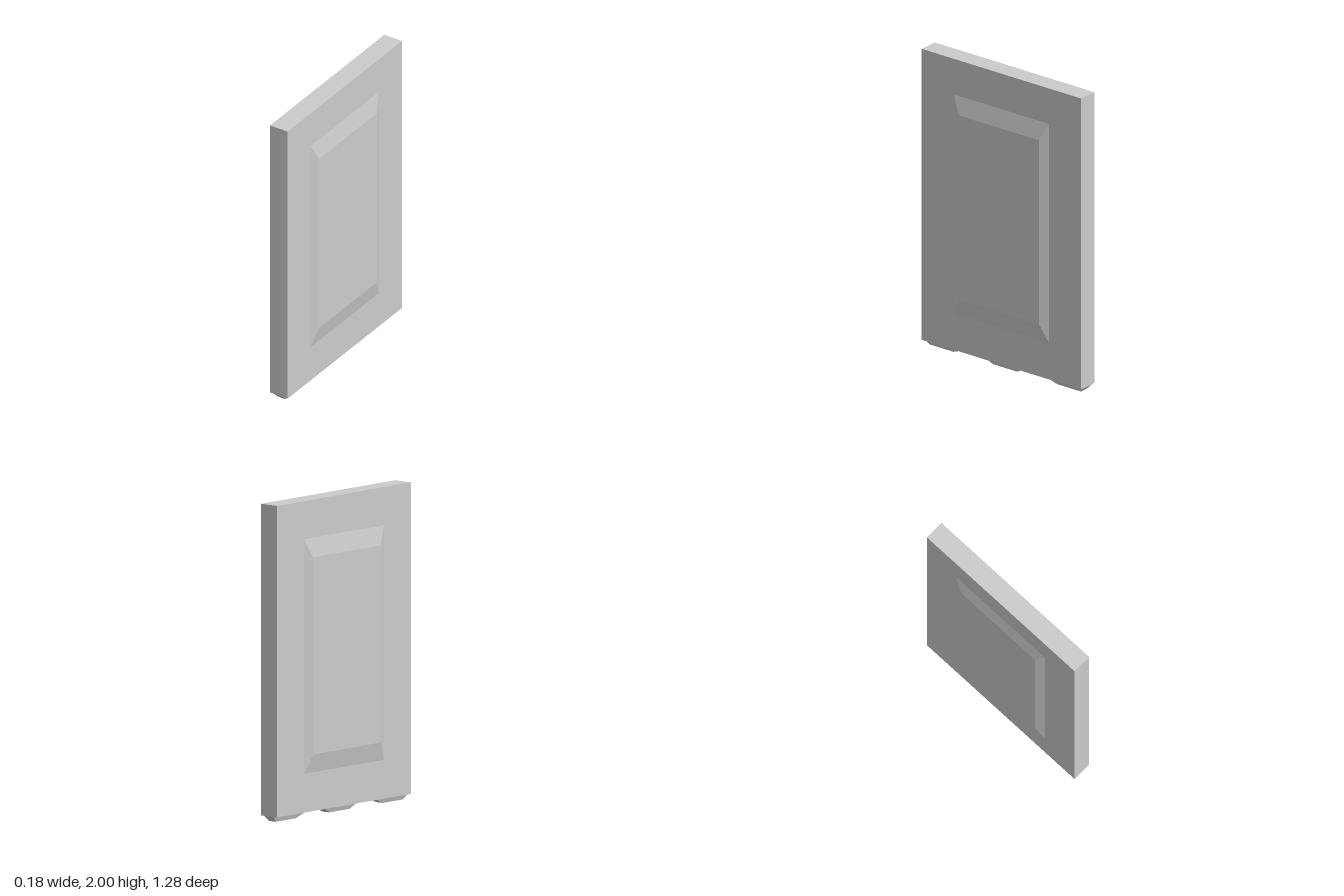
import * as THREE from 'three';

const material = new THREE.MeshStandardMaterial({ color: 0xcccccc, flatShading: true });

// Bevelled block lying on y = 0 and rising to the given height.
// base and top are [x0, x1, z0, z1] rectangles.
function bevelledBlock(base, top, height) {
  const geometry = new THREE.BoxGeometry(1, 1, 1);
  const p = geometry.attributes.position;
  for (let i = 0; i < p.count; i++) {
    const upper = p.getY(i) > 0;
    const r = upper ? top : base;
    p.setXYZ(i, p.getX(i) > 0 ? r[1] : r[0], upper ? height : 0, p.getZ(i) > 0 ? r[3] : r[2]);
  }
  geometry.computeVertexNormals();
  return geometry;
}

function addPart(group, name, geometry) {
  const mesh = new THREE.Mesh(geometry, material);
  mesh.name = name;
  group.add(mesh);
  return mesh;
}

export function createModel() {
  const group = new THREE.Group();
  group.name = 'panelledSlab';

  // Main slab
  const bottom = 0.035, halfThick = 0.066;
  const slab = addPart(group, 'slab', new THREE.BoxGeometry(halfThick * 2, 2 - bottom, 1.28));
  slab.position.y = (2 + bottom) / 2;

  // Raised panel on each broad face, with sloping borders
  for (const side of [1, -1]) {
    const panel = addPart(group, side > 0 ? 'leftPanel' : 'rightPanel',
      bevelledBlock([-0.74, 0.74, -0.383, 0.383], [-0.622, 0.622, -0.322, 0.322], 0.024));
    panel.position.set(side * halfThick, 1.02, 0);
    panel.rotation.z = -side * Math.PI / 2;
  }

  // Three tapered feet; turned over so they narrow downwards
  const feet = [
    ['frontFoot', 0.33, 0.64, 0.415, 0.607],
    ['middleFoot', -0.158, 0.158, -0.098, 0.098],
    ['backFoot', -0.64, -0.33, -0.607, -0.415],
  ];
  for (const [name, z0, z1, t0, t1] of feet) {
    const foot = addPart(group, name,
      bevelledBlock([-0.04, 0.04, z0, z1], [-0.028, 0.028, t0, t1], bottom));
    foot.position.y = bottom;
    foot.rotation.z = Math.PI;
  }
  return group;
}
